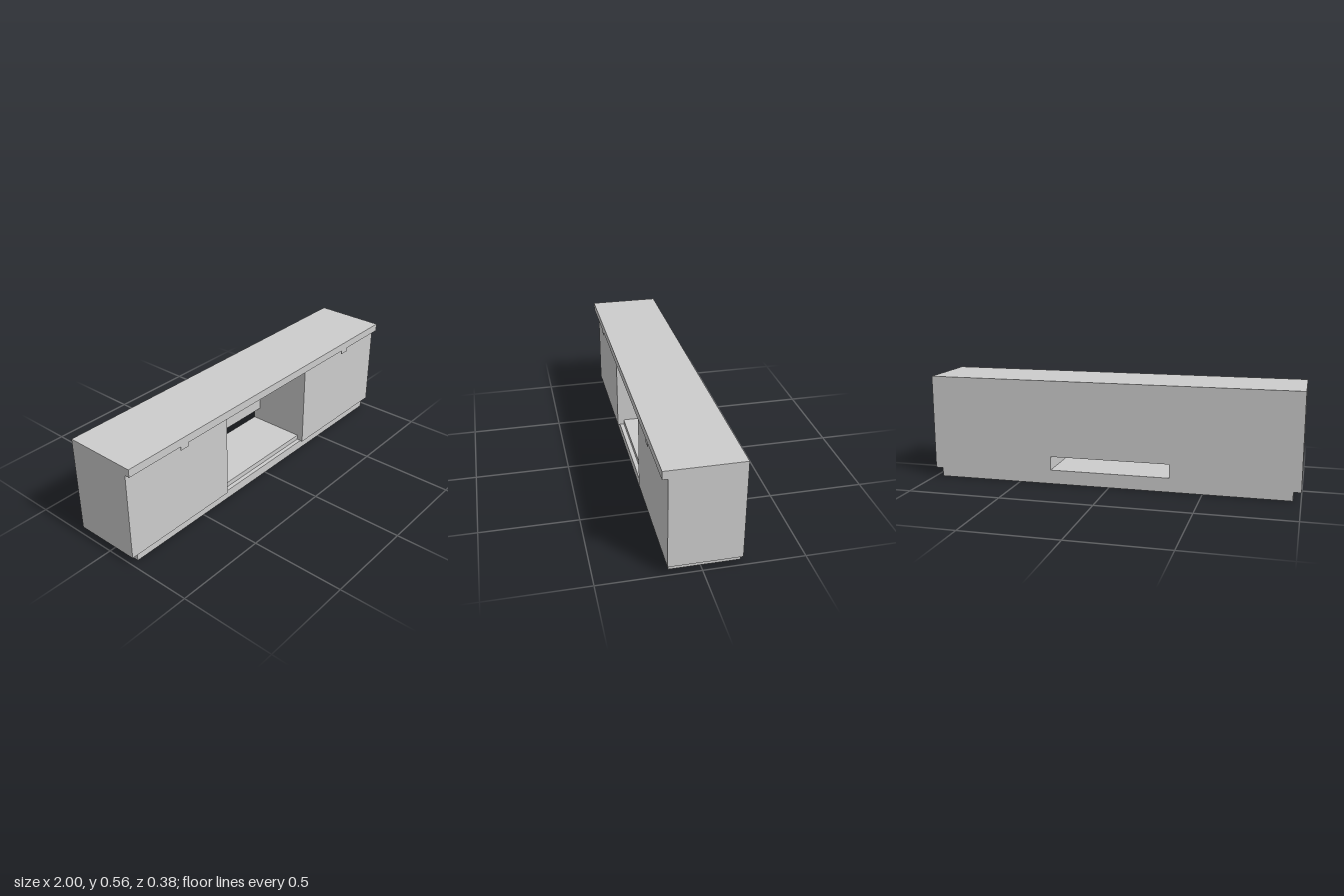
import * as THREE from 'three';

const grey = new THREE.MeshStandardMaterial({ color: 0xcccccc });
grey.name = 'grey laminate';

// Box given by its extents along each axis
function slab(name, [x0, x1], [y0, y1], [z0, z1]) {
  const geometry = new THREE.BoxGeometry(x1 - x0, y1 - y0, z1 - z0);
  geometry.translate((x0 + x1) / 2, (y0 + y1) / 2, (z0 + z1) / 2);
  const mesh = new THREE.Mesh(geometry, grey);
  mesh.name = name;
  return mesh;
}

export function createModel() {
  const model = new THREE.Group();
  model.name = 'sideboard';

  const back = -0.192, bodyFront = 0.165, topFront = 0.192;
  const niche = 0.325, bodyBottom = 0.047, bodyTop = 0.521;

  // Worktop with a front overhang, over a recessed plinth
  model.add(slab('worktop', [-1, 1], [bodyTop, 0.563], [back, topFront]));
  model.add(slab('plinth', [-0.96, 0.96], [0, 0.049], [back, 0.153]));

  // Closed cupboards, each side of the open niche
  for (const side of [-1, 1]) {
    const x = side < 0 ? [-1, -niche] : [niche, 1];
    model.add(slab(side < 0 ? 'rightCupboard' : 'leftCupboard', x, [bodyBottom, bodyTop], [back, bodyFront]));
  }

  // Niche floor, and a back panel that leaves a cable slot below it
  model.add(slab('nicheFloor', [-niche, niche], [bodyBottom, 0.076], [back, 0.13]));
  model.add(slab('nicheBackPanel', [-niche, niche], [0.15, bodyTop], [back, -0.152]));

  // Bent pull tabs under the overhang
  for (const x of [-0.65, 0.665]) {
    const tab = new THREE.Group();
    tab.name = 'pullTab';
    const width = [x - 0.026, x + 0.026];
    tab.add(slab('tabPlate', width, [0.515, bodyTop], [bodyFront, 0.191]));
    tab.add(slab('tabLip', width, [0.499, bodyTop], [0.188, 0.191]));
    model.add(tab);
  }

  return model;
}
